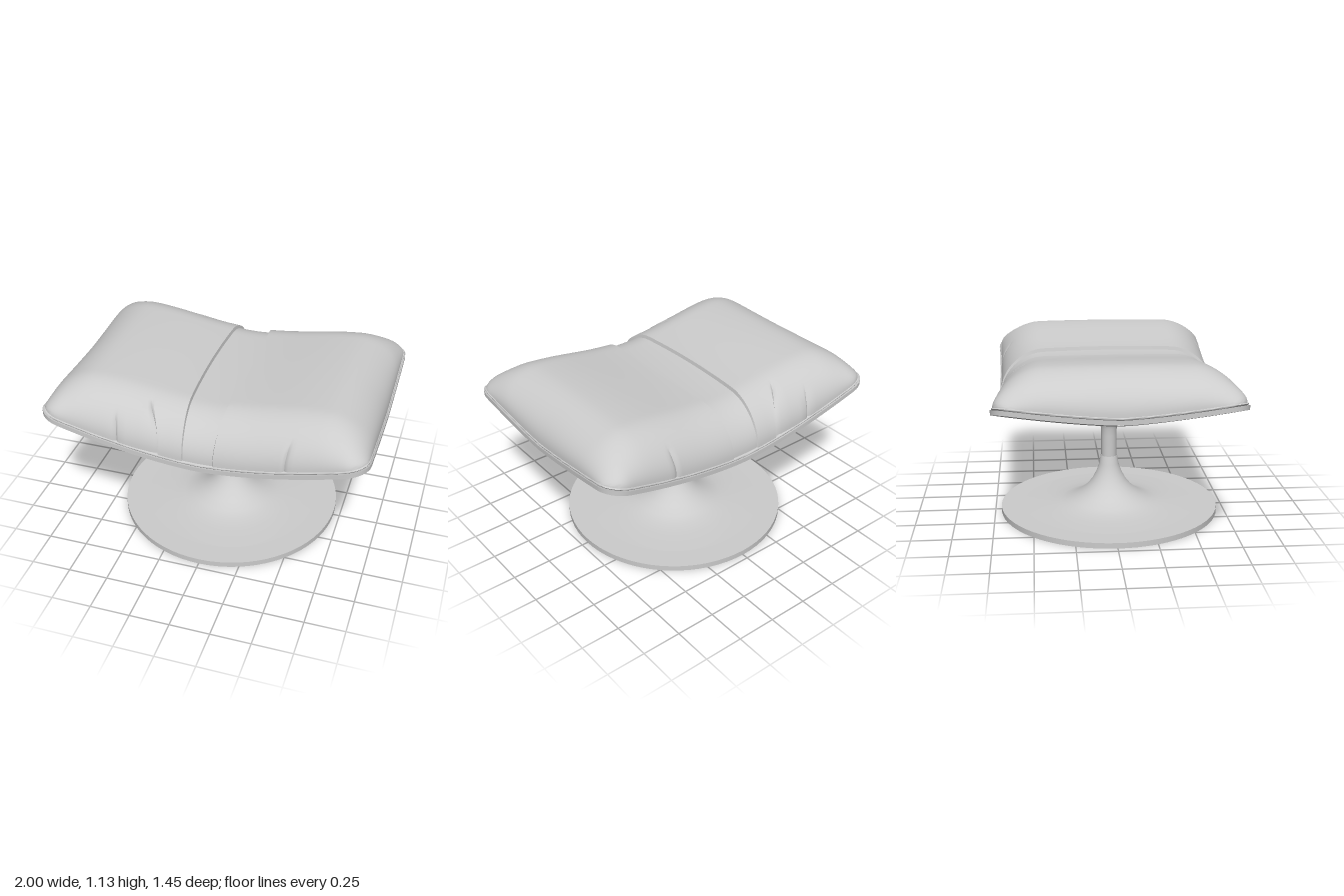
import * as THREE from 'three';
import { toCreasedNormals } from 'three/addons/utils/BufferGeometryUtils.js';

const CORNER = 0.13;
const smooth = THREE.MathUtils.smoothstep;

// Height of the dished seat shell's underside
const shellY = (x, z) => 0.65 + 0.2 * Math.abs(x) ** 1.7 + 0.08 * (Math.abs(z) / 0.72) ** 1.4;

// Half depth of the rounded-rectangle seat plan at x, inset from its edge
function halfDepth(x, inset) {
  const over = Math.min(CORNER, Math.max(0, Math.abs(x) - (1 - inset - CORNER)));
  return 0.705 + 0.025 * x * x - inset - CORNER + Math.sqrt(CORNER ** 2 - over ** 2);
}

// Positions across the width, packed closer towards the ends
function slices(inset, n = 48) {
  return Array.from({ length: n + 1 }, (_, i) => (1 - inset) * Math.sin((i / n - 0.5) * Math.PI));
}

// Surface through a grid of points
function surface(nu, nv, point, flip, crease = 0.7) {
  const pos = [], index = [];
  for (let i = 0; i <= nu; i++) for (let j = 0; j <= nv; j++) pos.push(...point(i, j));
  for (let i = 0; i < nu; i++) for (let j = 0; j < nv; j++) {
    const a = i * (nv + 1) + j, b = a + nv + 1;
    if (flip) index.push(a, a + 1, b, b, a + 1, b + 1);
    else index.push(a, b, a + 1, b, b + 1, a + 1);
  }
  const g = new THREE.BufferGeometry();
  g.setAttribute('position', new THREE.Float32BufferAttribute(pos, 3));
  g.setIndex(index);
  return toCreasedNormals(g, crease);
}

// Closed plan outline as [x, z] points
function outline(inset) {
  const xs = slices(inset), a = 1 - inset, w = halfDepth(a, inset), n = 24, pts = [];
  for (let i = 0; i < n; i++) pts.push([a, -w + 2 * w * i / n]);
  for (const x of [...xs].reverse()) pts.push([x, halfDepth(x, inset)]);
  for (let i = 1; i < n; i++) pts.push([-a, w - 2 * w * i / n]);
  for (const x of xs) pts.push([x, -halfDepth(x, inset)]);
  return pts;
}

// Band following the seat edge; rows are [inset, height above shell]
function edgeBand(rows, crease) {
  const loops = rows.map(([inset, h]) => outline(inset).map(([x, z]) => [x, shellY(x, z) + h, z]));
  return surface(loops[0].length - 1, rows.length - 1, (i, j) => loops[j][i], true, crease);
}

function shellUnderside() {
  const xs = slices(0), n = 40;
  return surface(xs.length - 1, n, (i, j) => {
    const z = halfDepth(xs[i], 0) * (2 * j / n - 1);
    return [xs[i], shellY(xs[i], z), z];
  }, false);
}

function cushionTop() {
  const inset = 0.012, soft = 0.28, n = 56, seam = 0.13;
  // Short tucks near the front and back: x, sideways lean, start of the tuck
  const tucks = [[-0.34, 0.1, 0.5], [-0.52, 0.02, 0.62], [0.54, -0.02, 0.62]];
  const extra = [-seam - 0.003, -seam + 0.002, seam - 0.002, seam + 0.003];
  for (const [x] of tucks) extra.push(x - 0.02, x - 0.007, x, x + 0.007, x + 0.02);
  const xs = slices(inset, 60)
    .filter((x) => extra.every((e) => Math.abs(e - x) > 0.012))
    .concat(extra).sort((a, b) => a - b);

  return surface(xs.length - 1, n, (i, j) => {
    const x = xs[i], ax = Math.abs(x), w = halfDepth(x, inset);
    let z = w * Math.sin((j / n - 0.5) * Math.PI);
    const az = Math.abs(z), end = smooth(az, 0.45, 0.71);
    // Pillow rounding towards all four edges
    const ux = Math.max(0, 1 - (1 - inset - ax) / soft);
    const uz = Math.max(0, 1 - (w - az) / soft);
    const f = Math.sqrt(Math.max(0, 1 - ux * ux)) * Math.sqrt(Math.max(0, 1 - uz * uz));
    let top = 1.053 + 0.074 * smooth(ax, 0.02, 0.72) - 0.03 * z * z;
    let pull = 0;
    if (ax < seam) { top -= 0.022; pull = 0.01; }
    // Seams and tucks lean sideways near the ends
    let shift = -Math.sign(x) * 0.04 * (z / 0.72) ** 2 * Math.min(1, ax / seam)
      * (1 - smooth(ax, seam, 0.3));
    for (const [tx, lean, start] of tucks) {
      const d = Math.abs(x - tx);
      shift += lean * smooth(az, start, 0.72) * Math.max(0, 1 - d / 0.1);
      pull += 0.016 * Math.exp(-((d / 0.008) ** 2)) * smooth(az, start, start + 0.06);
    }
    const base = shellY(x, z) + 0.04;
    const y = base + (top - base) * f - pull * f * (ax < seam ? 0 : 1);
    z *= 1 - pull * end;
    return [x + shift, y, z];
  }, true, 0.6);
}

function lathe(points, segments = 64) {
  return new THREE.LatheGeometry(points.map(([r, y]) => new THREE.Vector2(r, y)), segments);
}

export function createModel() {
  const group = new THREE.Group();
  const material = new THREE.MeshStandardMaterial({ color: 0xcccccc });
  material.name = 'light grey';
  const add = (name, geometry) => {
    const mesh = new THREE.Mesh(geometry, material);
    mesh.name = name;
    group.add(mesh);
    return mesh;
  };

  // Round foot plate
  add('basePlate', new THREE.CylinderGeometry(0.71, 0.71, 0.035, 72)).position.y = 0.0175;

  // Trumpet foot and the stem flaring up into the seat
  add('pedestalFoot', lathe([[0.6, 0.034], [0.5, 0.037], [0.4, 0.043], [0.32, 0.053], [0.26, 0.071],
    [0.2, 0.104], [0.15, 0.145], [0.11, 0.195], [0.082, 0.25], [0.063, 0.305], [0.054, 0.36], [0.049, 0.36]]));
  add('pedestalStem', lathe([[0.05, 0.355], [0.05, 0.5], [0.052, 0.55], [0.06, 0.585], [0.078, 0.612],
    [0.105, 0.634], [0.14, 0.65], [0.18, 0.66], [0.24, 0.676], [0.28, 0.7]]));

  // Dished seat shell with its edge
  add('shellUnderside', shellUnderside());
  add('shellEdge', edgeBand([[0, 0], [0, 0.028], [0.022, 0.028]], 0.5));

  // Welt between shell and cushion
  add('cushionWelt', edgeBand([[0.02, 0.026], [0.009, 0.031], [0.006, 0.037], [0.009, 0.043], [0.022, 0.047]], 1.2));

  // Upholstered cushion with recessed centre panel
  add('cushion', cushionTop());

  return group;
}
